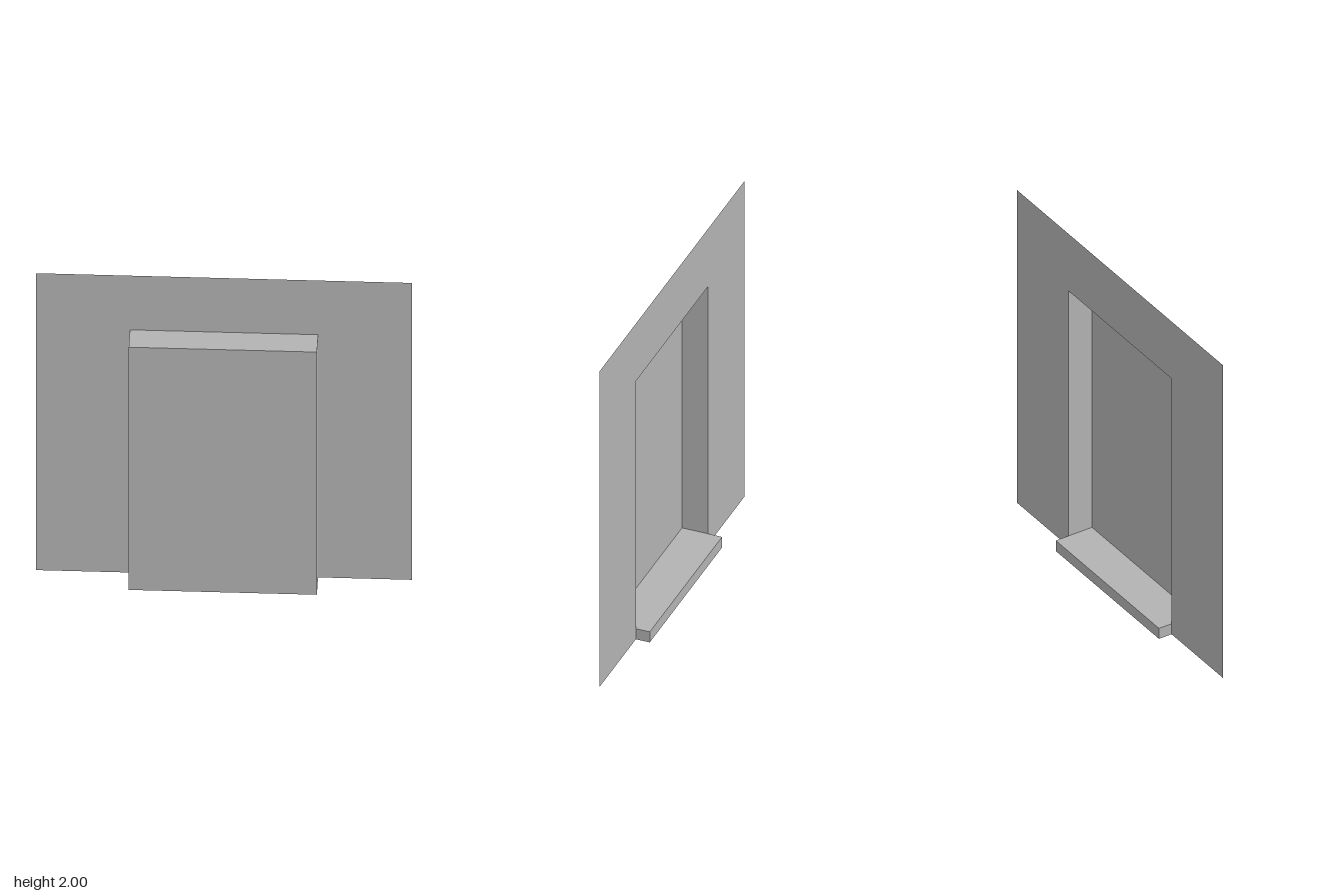
import * as THREE from 'three';

// Overall dimensions
const WALL = { half: 1, height: 2, z: -0.035 };
const DOOR = { half: 0.5, top: 1.635, front: 0.115 };
const SILL = { height: 0.067, depth: 0.23 };

export function createModel() {
  const model = new THREE.Group();
  model.name = 'doorwayWall';

  const grey = new THREE.MeshStandardMaterial({ color: 0xb2b2b2, side: THREE.DoubleSide });
  grey.name = 'plainGrey';

  const add = (name, geometry, x, y, z) => {
    const mesh = new THREE.Mesh(geometry, grey);
    mesh.name = name;
    mesh.position.set(x, y, z);
    model.add(mesh);
    return mesh;
  };

  // Thin wall sheet, notched by the doorway down to the ground
  const outline = [
    [-WALL.half, 0], [-DOOR.half, 0], [-DOOR.half, DOOR.top], [DOOR.half, DOOR.top],
    [DOOR.half, 0], [WALL.half, 0], [WALL.half, WALL.height], [-WALL.half, WALL.height],
  ].map(([x, y]) => new THREE.Vector2(x, y));
  add('wall', new THREE.ShapeGeometry(new THREE.Shape(outline)), 0, 0, WALL.z);

  // Recess pushed out of the wall: door panel, head and two jambs, open at the back
  const depth = DOOR.front - WALL.z;
  const height = DOOR.top - SILL.height;
  const midY = SILL.height + height / 2;
  const midZ = WALL.z + depth / 2;
  add('doorPanel', new THREE.PlaneGeometry(DOOR.half * 2, height), 0, midY, DOOR.front);
  add('doorHead', new THREE.PlaneGeometry(DOOR.half * 2, depth).rotateX(-Math.PI / 2), 0, DOOR.top, midZ);
  for (const side of [-1, 1]) {
    const jamb = new THREE.PlaneGeometry(depth, height).rotateY(side * Math.PI / 2);
    add(side > 0 ? 'leftJamb' : 'rightJamb', jamb, side * DOOR.half, midY, midZ);
  }

  // Sill forms the recess floor and projects as a step behind the wall
  add('sill', new THREE.BoxGeometry(DOOR.half * 2, SILL.height, SILL.depth),
    0, SILL.height / 2, DOOR.front - SILL.depth / 2);

  return model;
}
